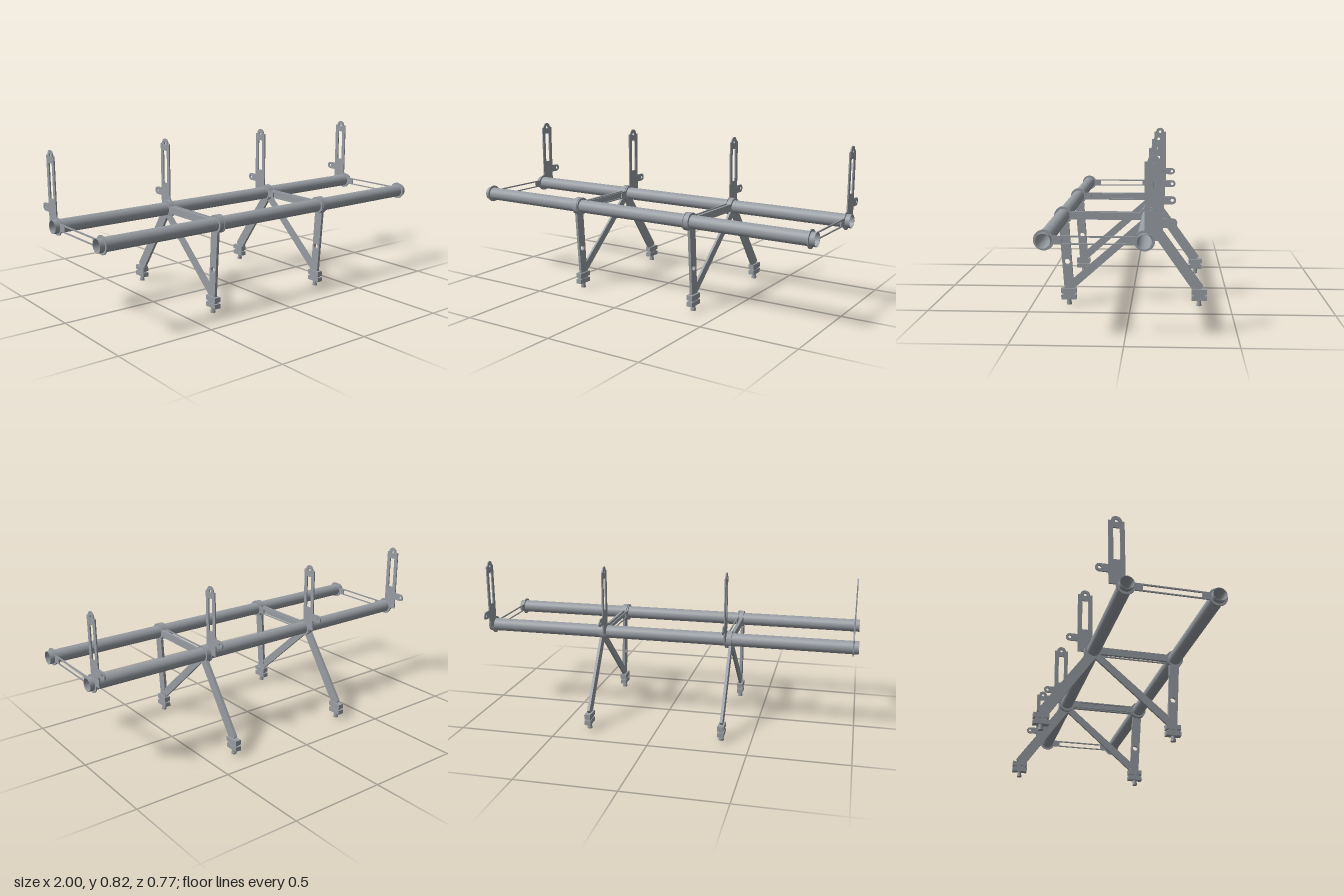
import * as THREE from 'three';

const Y = 0.457, FZ = 0.34, BZ = -0.088;   // rail height and rail depths
const RING = 0.045, TUBE = 0.034, BORE = 0.0315;

export function createModel() {
  const model = new THREE.Group();
  const steel = new THREE.MeshStandardMaterial({ color: 0x979ca2 });
  steel.name = 'greySteel';

  const add = (parent, geo, name, x = 0, y = 0, z = 0) => {
    const m = new THREE.Mesh(geo, steel);
    m.name = name;
    m.position.set(x, y, z);
    parent.add(m);
    return m;
  };
  const poly = (pts) => new THREE.Shape(pts.map(([z, y]) => new THREE.Vector2(z, y)));
  const circle = (z, y, r) => new THREE.Path().absarc(z, y, r, 0, Math.PI * 2, true);
  const rect = (z0, y0, z1, y1) =>
    new THREE.Path().moveTo(z0, y0).lineTo(z0, y1).lineTo(z1, y1).lineTo(z1, y0).closePath();
  // Side profile drawn in (z, y), given a thickness centred on x = 0
  const slab = (shape, t) => {
    const g = new THREE.ExtrudeGeometry(shape, { depth: t, bevelEnabled: false, curveSegments: 20 });
    return g.translate(0, 0, -t / 2).rotateY(-Math.PI / 2);
  };

  // Two long hollow rails
  const L = 1;
  const profile = [[BORE, -L], [TUBE, -L], [TUBE, -L], [TUBE, L], [TUBE, L], [BORE, L], [BORE, L], [BORE, -L]]
    .map(([r, h]) => new THREE.Vector2(r, h));
  [[FZ, 'frontRail'], [BZ, 'backRail']].forEach(([z, name]) => {
    const rail = new THREE.Group();
    rail.name = name;
    // separate walls and end rims keep the edges crisp
    for (let i = 0; i < 4; i++) {
      const part = [[0, 1], [2, 3], [4, 5], [6, 7]][i].map((k) => profile[k]);
      add(rail, new THREE.LatheGeometry(part, 40).rotateZ(Math.PI / 2),
        ['rimA', 'outerWall', 'rimB', 'innerWall'][i], 0, Y, z);
    }
    model.add(rail);
  });

  // Thin bracket plate: two rings, slotted tie bar, slotted upright and side lug
  const a = Math.asin(0.019 / RING), PI = Math.PI;
  const bracket = new THREE.Shape();
  bracket.absarc(FZ, Y, RING, PI + a, 3 * PI - a, false);
  bracket.absarc(BZ, Y, RING, a, PI / 2, false);
  bracket.lineTo(BZ, 0.793);
  bracket.absarc(-0.126, 0.793, 0.026, 0, PI, false);
  bracket.lineTo(-0.165, 0.793);
  bracket.lineTo(-0.165, 0.554);
  bracket.absarc(-0.205, 0.534, 0.02, PI / 2, 1.5 * PI, false);
  bracket.lineTo(-0.165, 0.514);
  bracket.lineTo(-0.165, Y);
  bracket.absarc(BZ, Y, RING, PI, 2 * PI - a, false);
  bracket.closePath();
  bracket.holes.push(
    circle(FZ, Y, TUBE - 0.001), circle(BZ, Y, TUBE - 0.001),
    rect(-0.01, 0.444, 0.265, 0.469),
    rect(-0.142, 0.585, -0.11, 0.756),
    circle(-0.126, 0.793, 0.008), circle(-0.205, 0.534, 0.008));
  const bracketGeo = slab(bracket, 0.006);
  [-0.973, -0.325, 0.325, 0.973].forEach((x) => add(model, bracketGeo, 'bracketPlate', x));

  // Leg frame pieces
  const frontLeg = poly([[0.3615, 0.419], [0.337, 0.08], [0.289, 0.08], [0.3105, 0.419]]);
  frontLeg.holes.push(circle(0.322, 0.222, 0.014));
  const backLeg = poly([[-0.08, 0.41], [-0.12, 0.44], [-0.365, 0.101], [-0.346, 0.08], [-0.312, 0.08]]);
  const brace = poly([[0.294, 0.134], [0.288, 0.084], [-0.081, 0.412], [-0.053, 0.437]]);
  const crossbar = poly([[0.302, 0.438], [0.302, 0.476], [-0.05, 0.476], [-0.05, 0.438]]);
  const T = 0.014;
  const legParts = [
    [slab(frontLeg, T), 'frontLeg'], [slab(backLeg, T), 'backLeg'],
    [slab(brace, T - 0.002), 'diagonalBrace'], [slab(crossbar, T), 'crossbar']];

  const collarShape = new THREE.Shape().absarc(0, 0, RING, 0, PI * 2, false);
  collarShape.holes.push(circle(0, 0, TUBE - 0.001));
  const collarGeo = slab(collarShape, 0.026);

  // Clamp blocks, bolt and head of one foot
  const makeFoot = (z) => {
    const foot = new THREE.Group();
    foot.name = 'foot';
    foot.position.z = z;
    add(foot, new THREE.BoxGeometry(0.032, 0.025, 0.077), 'upperClamp', 0, 0.0725, 0);
    add(foot, new THREE.BoxGeometry(0.024, 0.012, 0.056), 'clampNeck', 0, 0.055, 0);
    add(foot, new THREE.BoxGeometry(0.032, 0.023, 0.077), 'lowerClamp', 0, 0.0395, 0);
    add(foot, new THREE.CylinderGeometry(0.0105, 0.0105, 0.018, 20), 'bolt', 0, 0.02, 0);
    add(foot, new THREE.CylinderGeometry(0.013, 0.013, 0.011, 20), 'boltHead', 0, 0.0055, 0);
    return foot;
  };

  [-1, 1].forEach((s) => {
    const frame = new THREE.Group();
    frame.name = s > 0 ? 'leftLegFrame' : 'rightLegFrame';
    frame.position.x = s * 0.35;
    legParts.forEach(([geo, name]) => add(frame, geo, name));
    [FZ, BZ].forEach((z) => add(frame, collarGeo, 'collar', -s * 0.006, Y, z));
    frame.add(makeFoot(0.315), makeFoot(-0.345));
    model.add(frame);
  });

  // Rail walls are open surfaces, so they show from both sides
  steel.side = THREE.DoubleSide;
  return model;
}
